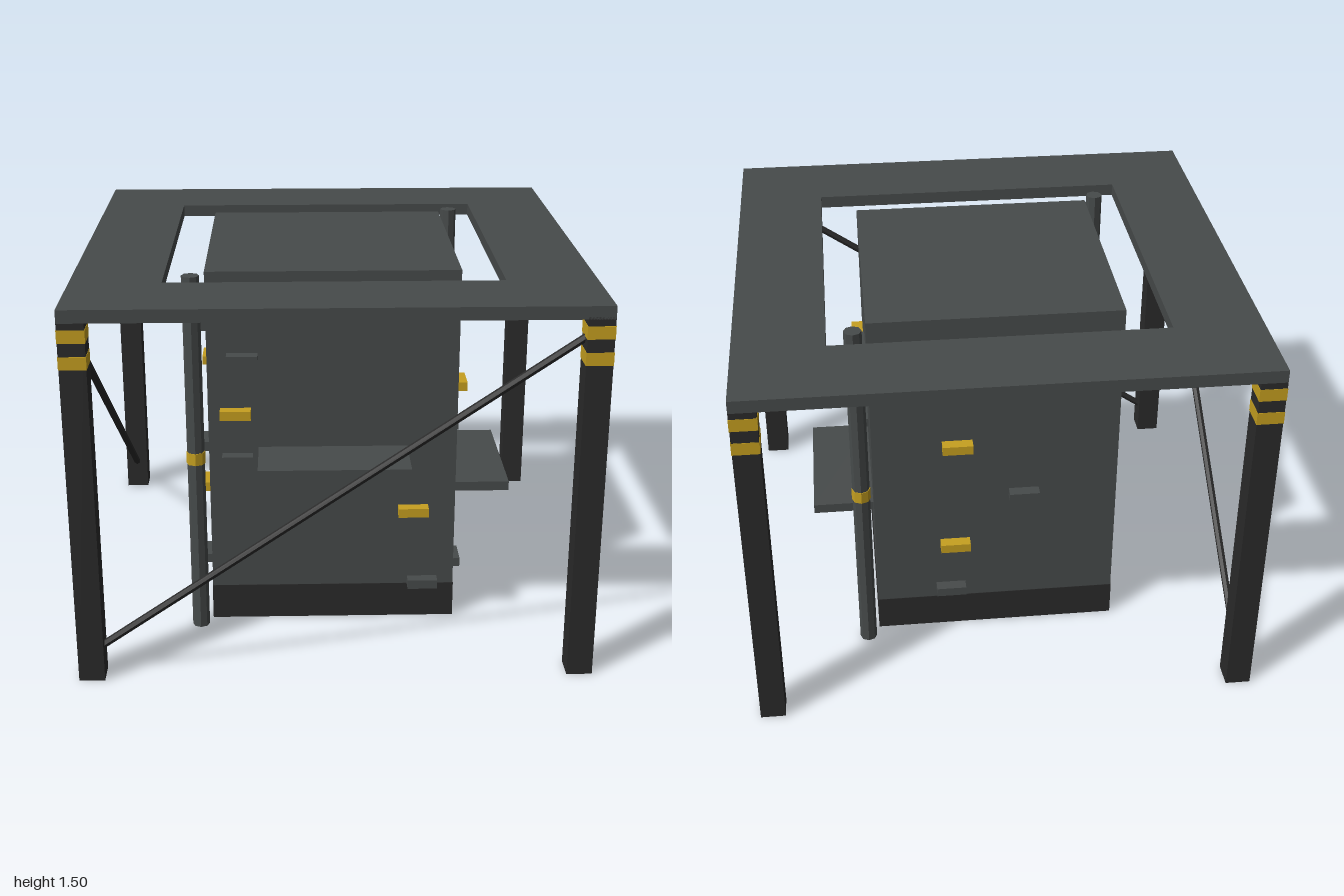
import * as THREE from 'three';

export function createModel() {
  const model = new THREE.Group();
  model.name = 'climbingTower';

  const mat = (name, color, flatShading = false) => {
    const m = new THREE.MeshStandardMaterial({ color, flatShading });
    m.name = name;
    return m;
  };
  const grey = mat('slateGrey', 0x474b4b, true);
  const dark = mat('charcoal', 0x2b2b2b, true);
  const yellow = mat('safetyYellow', 0xc6a020, true);

  const add = (name, geo, material, x, y, z) => {
    const mesh = new THREE.Mesh(geo, material);
    mesh.name = name;
    mesh.position.set(x, y, z);
    model.add(mesh);
    return mesh;
  };
  const box = (name, material, w, h, d, x, y, z) =>
    add(name, new THREE.BoxGeometry(w, h, d), material, x, y, z);

  // Central block with dark skirt around its foot
  box('core', grey, 1, 1.5, 1, 0, 0.75, 0);
  box('skirt', dark, 1.004, 0.149, 1.004, 0, 0.0755, 0);

  // Square roof frame with open middle
  const square = (Type, r) => {
    const s = new Type();
    s.moveTo(-r, -r).lineTo(r, -r).lineTo(r, r).lineTo(-r, r).closePath();
    return s;
  };
  const frame = square(THREE.Shape, 1);
  frame.holes.push(square(THREE.Path, 0.65));
  const frameGeo = new THREE.ExtrudeGeometry(frame, { depth: 0.05, bevelEnabled: false });
  frameGeo.rotateX(-Math.PI / 2);
  add('roofFrame', frameGeo, grey, 0, 1.45, 0);

  // Corner legs with two warning bands each
  for (const sx of [-1, 1]) {
    for (const sz of [-1, 1]) {
      box('leg', dark, 0.1, 1.46, 0.1, sx * 0.95, 0.73, sz * 0.95);
      for (const y of [1.3, 1.4]) {
        box('legBand', yellow, 0.103, 0.05, 0.103, sx * 0.95, y, sz * 0.95);
      }
    }
  }

  // Diagonal braces on the front and right-hand sides
  const brace = (name, a, b) => {
    const dir = b.clone().sub(a);
    const mid = a.clone().add(b).multiplyScalar(0.5);
    const rod = add(name, new THREE.CylinderGeometry(0.015, 0.015, dir.length(), 6), dark, mid.x, mid.y, mid.z);
    rod.quaternion.setFromUnitVectors(new THREE.Vector3(0, 1, 0), dir.normalize());
  };
  brace('frontBrace', new THREE.Vector3(-0.95, 0.1, 0.95), new THREE.Vector3(0.95, 1.4, 0.95));
  brace('sideBrace', new THREE.Vector3(-0.95, 0.1, -0.95), new THREE.Vector3(-0.95, 1.4, 0.95));

  // Two poles at opposite corners, each with a yellow collar
  for (const s of [-1, 1]) {
    add('pole', new THREE.CylinderGeometry(0.035, 0.035, 1.5, 8), grey, s * 0.55, 0.75, -s * 0.55);
    add('poleCollar', new THREE.CylinderGeometry(0.038, 0.038, 0.05, 8), yellow, s * 0.55, 0.75, -s * 0.55);
  }

  // Ledges
  box('frontLedge', grey, 0.6, 0.04, 0.25, 0, 0.75, 0.625);
  box('sideLedge', grey, 0.25, 0.04, 0.6, 0.625, 0.5, 0);

  // Climbing holds per wall: [position along wall, height], listed top to bottom;
  // second and fourth are yellow
  const walls = {
    front: [[-0.36, 1.15], [-0.39, 0.92], [-0.385, 0.725], [0.328, 0.49], [0.37, 0.165]],
    left: [[-0.147, 1.21], [0.342, 0.985], [0.077, 0.715], [-0.174, 0.457], [0.267, 0.157]],
    back: [[0.215, 1.213], [0.157, 0.925], [-0.115, 0.675], [0.17, 0.435], [0.19, 0.205]],
    right: [[0.105, 1.175], [-0.077, 0.965], [0.355, 0.74], [0.124, 0.46], [0.355, 0.235]],
  };
  for (const [wall, holds] of Object.entries(walls)) {
    const alongX = wall === 'front' || wall === 'back';
    const out = wall === 'front' || wall === 'left' ? 0.523 : -0.523;
    holds.forEach(([t, y], i) => {
      const m = i % 2 ? yellow : grey;
      if (alongX) box(wall + 'Hold', m, 0.123, 0.038, 0.05, t, y, out);
      else box(wall + 'Hold', m, 0.05, 0.038, 0.123, out, y, t);
    });
  }

  return model;
}
